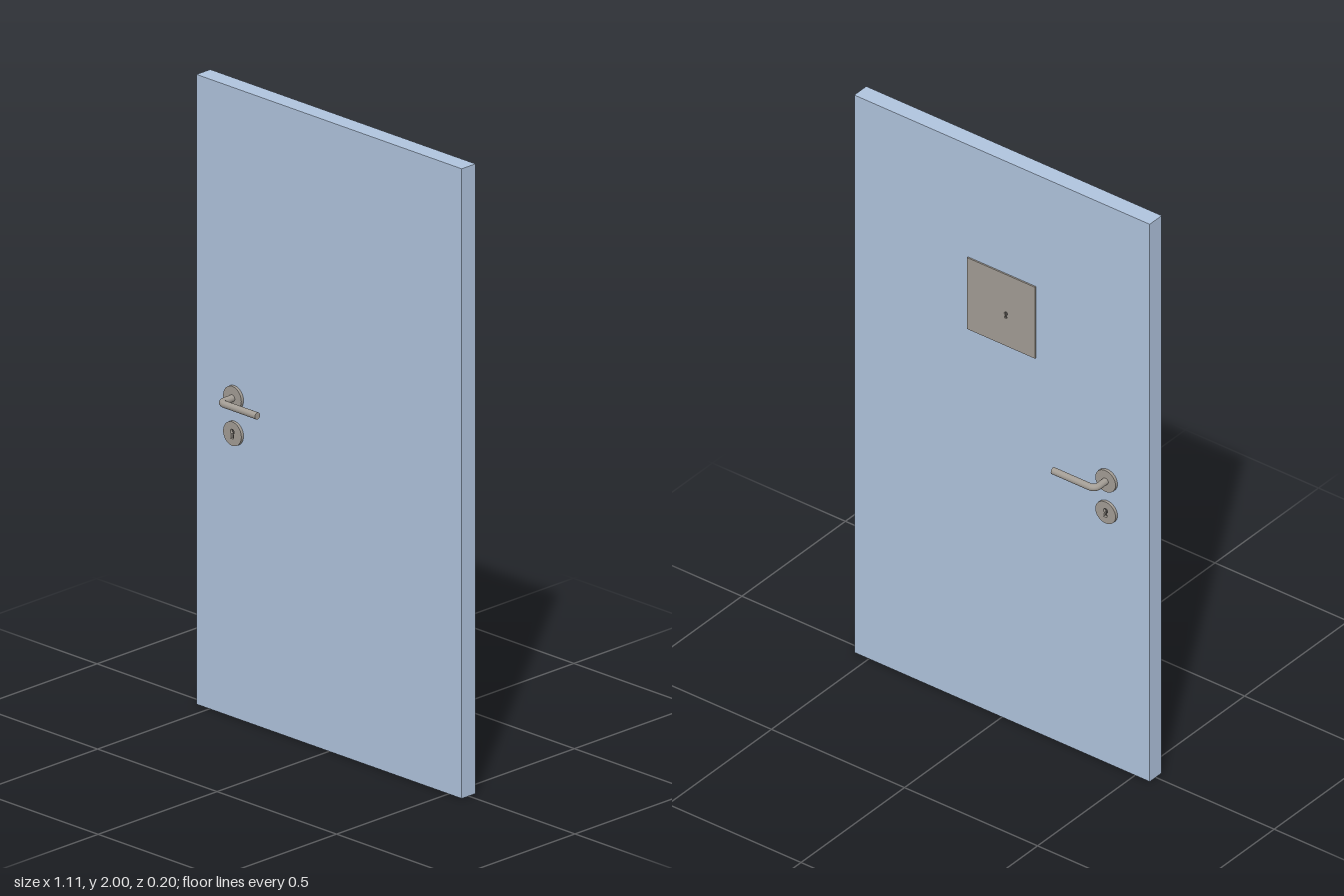
import * as THREE from 'three';

const FACE = 0.029;          // half the door thickness
const LOCK_X = -0.396;

const paint = new THREE.MeshStandardMaterial({ color: 0xb0c4de });
const metal = new THREE.MeshStandardMaterial({ color: 0xa39d95 });
const dark = new THREE.MeshStandardMaterial({ color: 0x4a4744 });

function part(name, geometry, material, x = 0, y = 0, z = 0) {
  const mesh = new THREE.Mesh(geometry, material);
  mesh.name = name;
  mesh.position.set(x, y, z);
  return mesh;
}

// Round top with a flared slot below, traced as one closed outline
function keyholeOutline(Type, r) {
  const k = new Type();
  k.absarc(0, r * 0.8, r, -Math.PI * 0.33, Math.PI * 1.33, false);
  k.lineTo(-r * 0.8, -r * 2);
  k.lineTo(r * 0.8, -r * 2);
  k.closePath();
  return k;
}

// Extrudes an outline with a keyhole cut through it
function pierced(shape, r, depth, x = 0, y = 0) {
  const hole = new THREE.Path(keyholeOutline(THREE.Path, r).getPoints(8).map(p => p.add(new THREE.Vector2(x, y))));
  shape.holes.push(hole);
  return new THREE.ExtrudeGeometry(shape, { depth, bevelEnabled: false, curveSegments: 32 });
}

// Tube bent from the spindle into the grip, with a capped end
function leverHandle() {
  const group = new THREE.Group();
  group.name = 'leverHandle';
  const reach = 0.09, bend = 0.022, end = 0.157, r = 0.011;
  const v = (x, z) => new THREE.Vector3(x, 0, z);
  const path = new THREE.CurvePath();
  path.add(new THREE.LineCurve3(v(0, FACE), v(0, reach - bend)));
  path.add(new THREE.QuadraticBezierCurve3(v(0, reach - bend), v(0, reach), v(bend, reach)));
  path.add(new THREE.LineCurve3(v(bend, reach), v(end, reach)));
  group.add(part('lever', new THREE.TubeGeometry(path, 60, r, 20, false), metal));
  const cap = part('leverEnd', new THREE.CircleGeometry(r, 20), metal, end, 0, reach);
  cap.rotation.y = Math.PI / 2;
  group.add(cap);
  return group;
}

// One side's lock fittings, built facing +z
function lockSet() {
  const group = new THREE.Group();
  const radius = 0.038, depth = 0.0095;
  const rose = part('handleRosette', new THREE.CylinderGeometry(radius, radius, depth, 32), metal, 0, 1.017, FACE + depth / 2);
  rose.rotation.x = Math.PI / 2;
  const lever = leverHandle();
  lever.position.y = 1.017;
  const disc = new THREE.Shape().absarc(0, 0, radius, 0, Math.PI * 2, false);
  group.add(
    rose, lever,
    part('keyRosette', pierced(disc, 0.008, depth), metal, 0, 0.904, FACE),
    part('keyholeRecess', new THREE.CircleGeometry(0.03, 24), dark, 0, 0.904, FACE + 0.001)
  );
  group.position.x = LOCK_X;
  return group;
}

export function createModel() {
  const model = new THREE.Group();
  model.name = 'door';
  model.add(part('doorLeaf', new THREE.BoxGeometry(1.11, 2, FACE * 2), paint, 0, 1, 0));

  // Front lock set, and the back one with its levers pointing the same way
  const front = lockSet();
  front.name = 'frontLockSet';
  const back = lockSet();
  back.name = 'backLockSet';
  back.scale.z = -1;
  model.add(front, back);

  // Square hatch plate on the back with its small keyhole
  const half = 0.128;
  const square = new THREE.Shape([[-half, -half], [half, -half], [half, half], [-half, half]].map(p => new THREE.Vector2(...p)));
  const hatch = new THREE.Group();
  hatch.name = 'hatch';
  hatch.add(
    part('hatchPlate', pierced(square, 0.006, 0.005, 0.018, -0.017), metal),
    part('hatchKeyholeRecess', new THREE.PlaneGeometry(0.04, 0.05), dark, 0.018, -0.017, 0.001)
  );
  hatch.position.set(0, 1.47, -FACE);
  hatch.rotation.y = Math.PI;
  model.add(hatch);
  return model;
}
